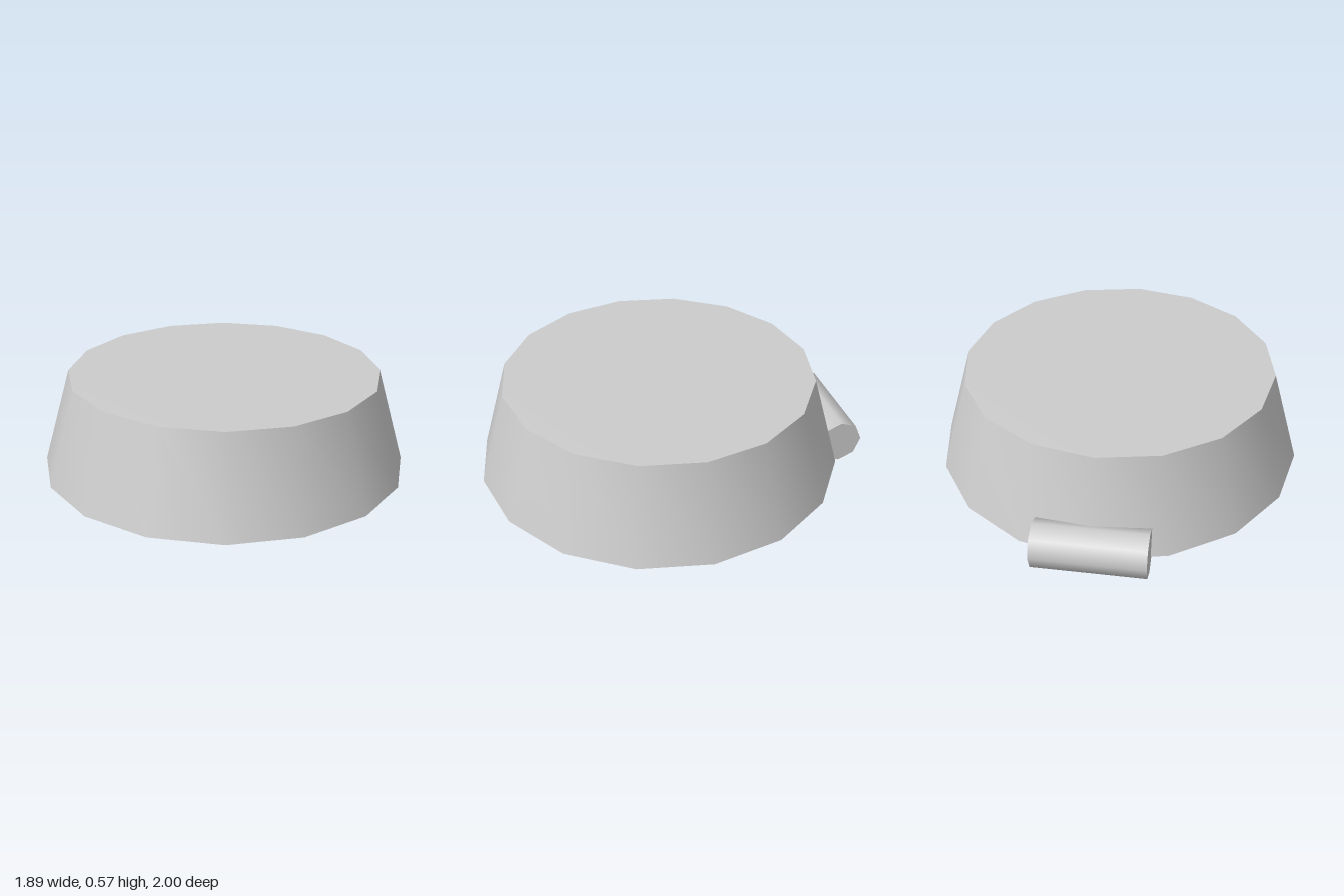
import * as THREE from 'three';
import { toCreasedNormals } from 'three/addons/utils/BufferGeometryUtils.js';

export function createModel() {
  const group = new THREE.Group();
  const material = new THREE.MeshStandardMaterial({ color: 0xcccccc });

  const addPart = (name, geometry, x, y, z) => {
    const mesh = new THREE.Mesh(geometry, material);
    mesh.name = name;
    mesh.position.set(x, y, z);
    group.add(mesh);
  };

  // Hollow tapered cap: inner ceiling, inner wall, rim, outer wall, top
  const profile = [
    [0, 0.517], [0.76, 0.507], [0.897, 0.05],
    [0.945, 0.06], [0.805, 0.556], [0, 0.567],
  ].map(([r, y]) => new THREE.Vector2(r, y));
  const cap = new THREE.LatheGeometry(profile, 16);
  addPart('cap', toCreasedNormals(cap, 0.6), 0, 0, 0.05);

  // Eight-sided hinge barrel across the back of the rim
  const barrel = new THREE.CylinderGeometry(0.118, 0.118, 0.56, 8);
  barrel.rotateZ(Math.PI / 2);
  addPart('hingeBarrel', barrel, 0, 0.118, -0.882);

  return group;
}
